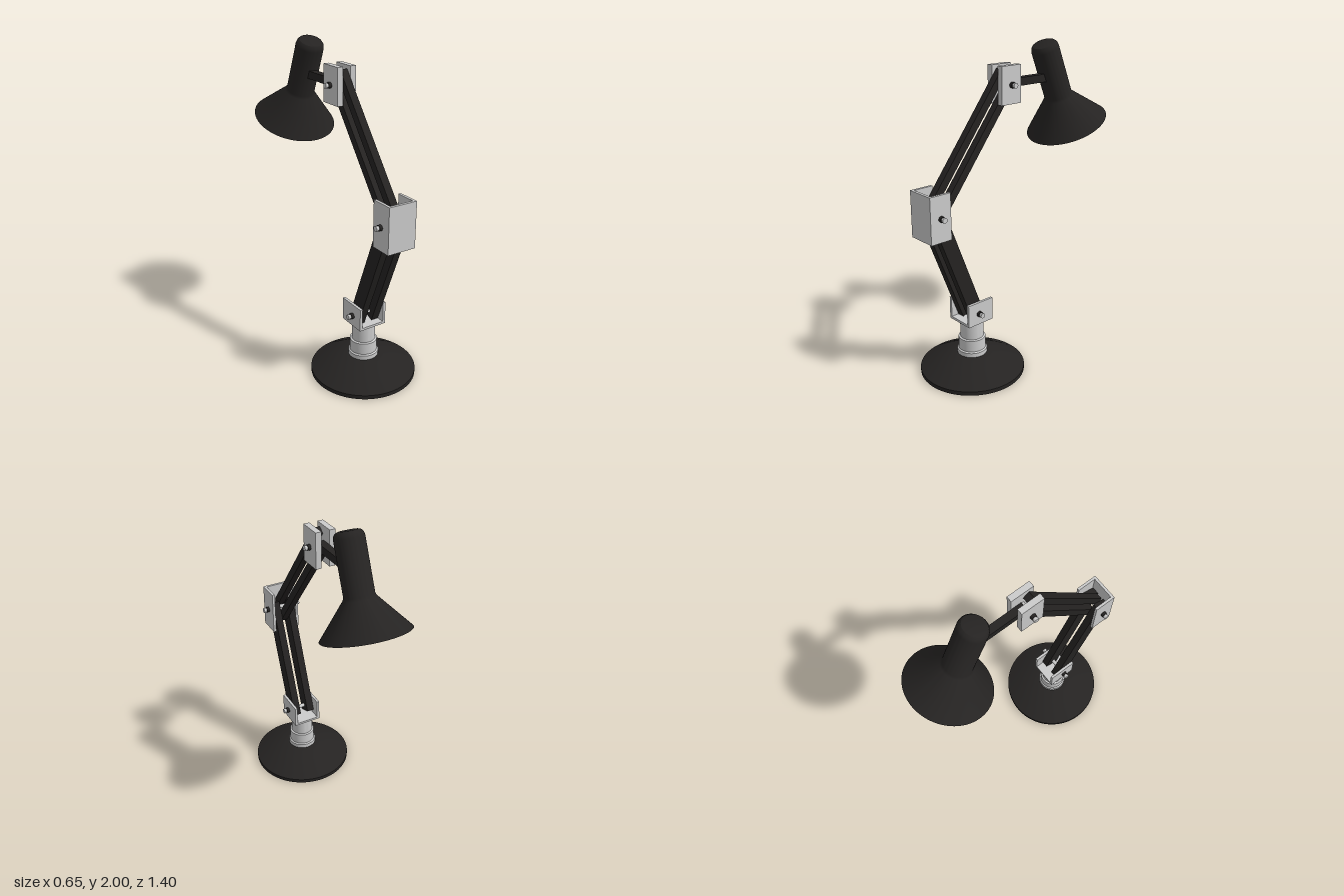
import * as THREE from 'three';
import { toCreasedNormals } from 'three/addons/utils/BufferGeometryUtils.js';

const grey = new THREE.MeshStandardMaterial({ color: 0xcccccc });
const dark = new THREE.MeshStandardMaterial({ color: 0x252322 });
const darkThin = new THREE.MeshStandardMaterial({ color: 0x252322, side: THREE.DoubleSide });
const blue = new THREE.MeshStandardMaterial({ color: 0x2a6fb0 });

function add(parent, name, geometry, material, x = 0, y = 0, z = 0) {
  const mesh = new THREE.Mesh(geometry, material);
  mesh.name = name;
  mesh.position.set(x, y, z);
  parent.add(mesh);
  return mesh;
}

// Box given by its limits on each axis
function block(parent, name, [x0, x1], [y0, y1], [z0, z1], material = grey) {
  const g = new THREE.BoxGeometry(x1 - x0, y1 - y0, z1 - z0);
  return add(parent, name, g, material, (x0 + x1) / 2, (y0 + y1) / 2, (z0 + z1) / 2);
}

// Straight bar between two [y, z] points, with square-cut ends
function bar(parent, name, x, a, b, width, depth) {
  const dy = b[0] - a[0], dz = b[1] - a[1];
  const g = new THREE.BoxGeometry(width, Math.hypot(dy, dz), depth);
  const m = add(parent, name, g, dark, x, (a[0] + b[0]) / 2, (a[1] + b[1]) / 2);
  m.rotation.x = Math.atan2(dz, dy);
}

// Revolved profile of [radius, height] points, sharp at strong corners
function turned(parent, name, profile, material, segments = 64) {
  const pts = profile.map(([r, h]) => new THREE.Vector2(r, h));
  const g = toCreasedNormals(new THREE.LatheGeometry(pts, segments), 0.5);
  return add(parent, name, g, material);
}

// Cross pin with a nut and a rod tip on either side
function bolt(parent, name, y, z, plateX) {
  const group = new THREE.Group();
  group.name = name;
  group.position.set(0, y, z);
  parent.add(group);
  const rod = (part, r, length, material, x) => {
    add(group, part, new THREE.CylinderGeometry(r, r, length, 20), material, x).rotation.z = Math.PI / 2;
  };
  rod('pin', 0.013, plateX * 2 + 0.07, grey, 0);
  for (const s of [-1, 1]) {
    rod('nut', 0.018, 0.018, dark, s * (plateX + 0.009));
    rod('pinTip', 0.016, 0.012, grey, s * (plateX + 0.031));
  }
}

export function createModel() {
  const lamp = new THREE.Group();
  lamp.name = 'deskLamp';

  // Domed foot and stepped post
  const baseZ = 0.355;
  turned(lamp, 'base', [[0, 0], [0.327, 0], [0.327, 0.025], [0.305, 0.036], [0.25, 0.065],
    [0.19, 0.09], [0.13, 0.11], [0.09, 0.118], [0, 0.118]], dark, 72).position.z = baseZ;
  turned(lamp, 'post', [[0, 0.11], [0.093, 0.11], [0.093, 0.145], [0.084, 0.152], [0.084, 0.226],
    [0.072, 0.23], [0.072, 0.35], [0, 0.35]], grey, 48).position.z = baseZ;

  // Brackets: two cheeks each, joined by a floor or a front plate
  const cheeks = (name, inner, outer, y, z) => {
    for (const s of [-1, 1]) {
      block(lamp, name, s < 0 ? [-outer, -inner] : [inner, outer], y, z);
    }
  };
  cheeks('baseBracketCheek', 0.076, 0.093, [0.345, 0.49], [0.263, 0.45]);
  block(lamp, 'baseBracketFloor', [-0.076, 0.076], [0.345, 0.36], [0.263, 0.45]);
  cheeks('elbowBracketCheek', 0.076, 0.093, [0.953, 1.235], [0.56, 0.702]);
  block(lamp, 'elbowBracketFront', [-0.076, 0.076], [0.953, 1.235], [0.685, 0.702]);
  cheeks('headBracketCheek', 0.026, 0.063, [1.66, 1.885], [0, 0.147]);

  // Bolts
  bolt(lamp, 'baseBolt', 0.415, 0.37, 0.093);
  bolt(lamp, 'elbowBolt', 1.095, 0.63, 0.093);
  bolt(lamp, 'headBolt', 1.772, 0.072, 0.063);

  // Lower arm: twin bars side by side
  for (const s of [-1, 1]) {
    bar(lamp, 'lowerArm', s * 0.05, [0.378, 0.356], [1.135, 0.645], 0.048, 0.094);
  }

  // Upper arm: twin bars one above the other
  bar(lamp, 'upperArmTop', 0, [1.125, 0.652], [1.85, 0.095], 0.048, 0.048);
  bar(lamp, 'upperArmBottom', 0, [1.02, 0.61], [1.74, 0.055], 0.048, 0.048);

  // Short arm that carries the shade
  block(lamp, 'headArm', [-0.024, 0.024], [1.75, 1.798], [-0.26, 0.065], dark);

  // Tilted head; its origin is the middle of the shade rim
  const head = new THREE.Group();
  head.name = 'head';
  head.position.set(0, 1.46, -0.456);
  head.rotation.x = 0.39;
  lamp.add(head);
  turned(head, 'shade', [[0.261, 0], [0.095, 0.198], [0.087, 0.214], [0.086, 0.525],
    [0.081, 0.545], [0.07, 0.558], [0.055, 0.563], [0, 0.563]], darkThin, 72);
  turned(head, 'socket', [[0, 0.12], [0.035, 0.12], [0.035, 0.3], [0, 0.3]], grey, 32);
  turned(head, 'bulb', [[0, 0.03], [0.025, 0.036], [0.046, 0.055], [0.055, 0.085],
    [0.049, 0.11], [0.034, 0.132], [0.028, 0.15]], blue, 32);

  return lamp;
}
